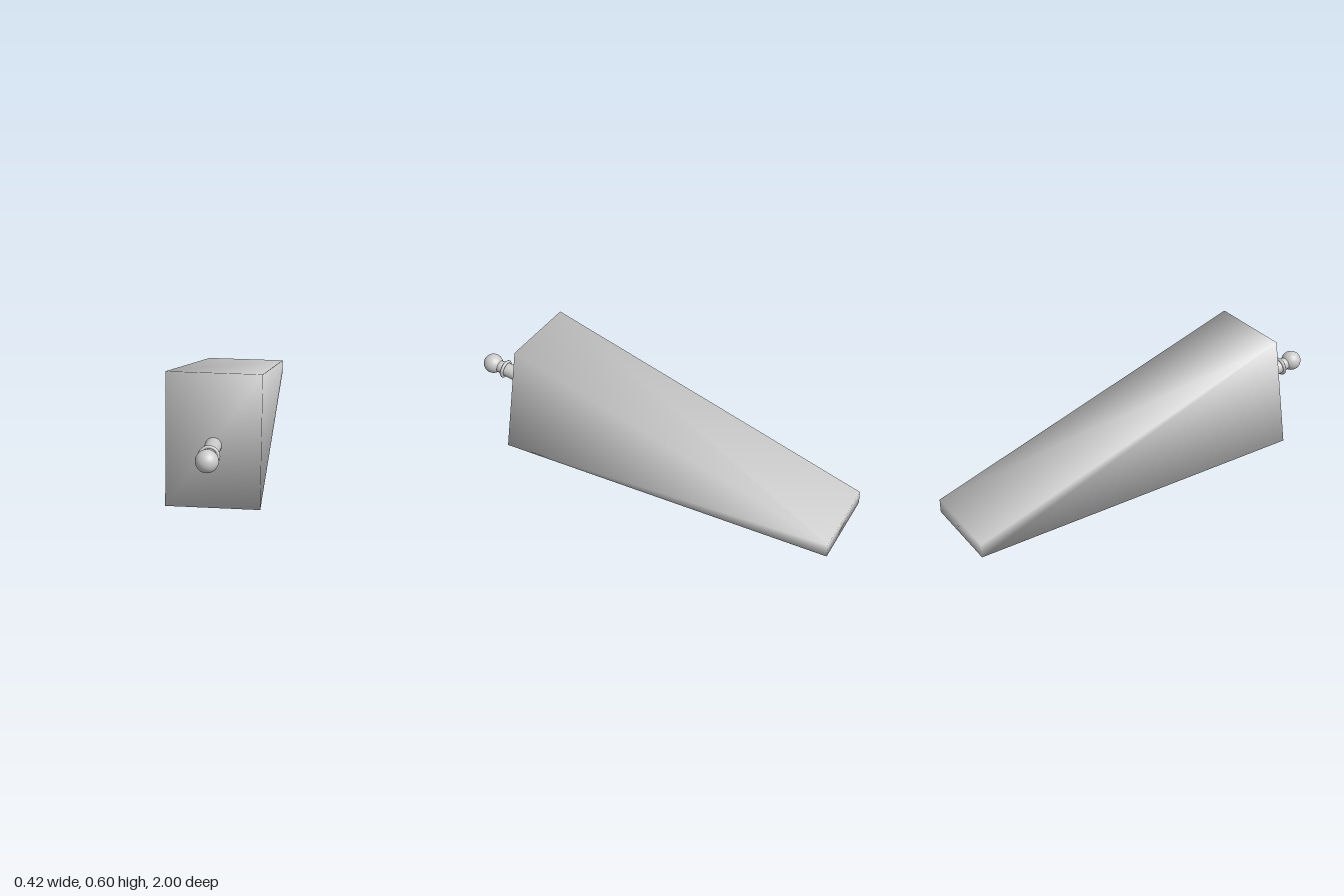
import * as THREE from 'three';
import { mergeVertices } from 'three/addons/utils/BufferGeometryUtils.js';

const material = new THREE.MeshStandardMaterial({ color: 0xcccccc });

// Box tapered into a wedge, with corners shared so the shading is smooth
function wedgeGeometry() {
  const box = new THREE.BoxGeometry(0.42, 2, 2);
  box.deleteAttribute('normal');
  box.deleteAttribute('uv');
  const geo = mergeVertices(box);
  const p = geo.attributes.position;
  for (let i = 0; i < p.count; i++) {
    const top = p.getY(i) > 0, front = p.getZ(i) > 0;
    p.setY(i, top ? (front ? 0.6 : 0.07) : 0);
    p.setZ(i, front ? (top ? 0.66 : 0.75) : -1);
  }
  geo.computeVertexNormals();
  return geo;
}

export function createModel() {
  const model = new THREE.Group();
  const add = (parent, name, geo, y = 0) => {
    const mesh = new THREE.Mesh(geo, material);
    mesh.name = name;
    mesh.position.y = y;
    parent.add(mesh);
    return mesh;
  };

  add(model, 'wedgeBody', wedgeGeometry());

  // Handle, square to the sloping front face; its local y runs outwards
  const handle = new THREE.Group();
  handle.name = 'handle';
  handle.position.set(0, 0.28, 0.708);
  handle.rotation.x = Math.PI / 2 - Math.atan(0.15);
  model.add(handle);

  add(handle, 'rod', new THREE.CylinderGeometry(0.035, 0.037, 0.21, 32), 0.085);
  const neck = [[0.035, 0.165], [0.035, 0.185], [0.031, 0.2], [0.031, 0.225]];
  add(handle, 'neck', new THREE.LatheGeometry(neck.map(q => new THREE.Vector2(...q)), 32));
  const collar = add(handle, 'collar', new THREE.TorusGeometry(0.04, 0.008, 12, 40), 0.169);
  collar.rotation.x = Math.PI / 2;
  add(handle, 'ballKnob', new THREE.SphereGeometry(0.05, 32, 20), 0.245);

  return model;
}
